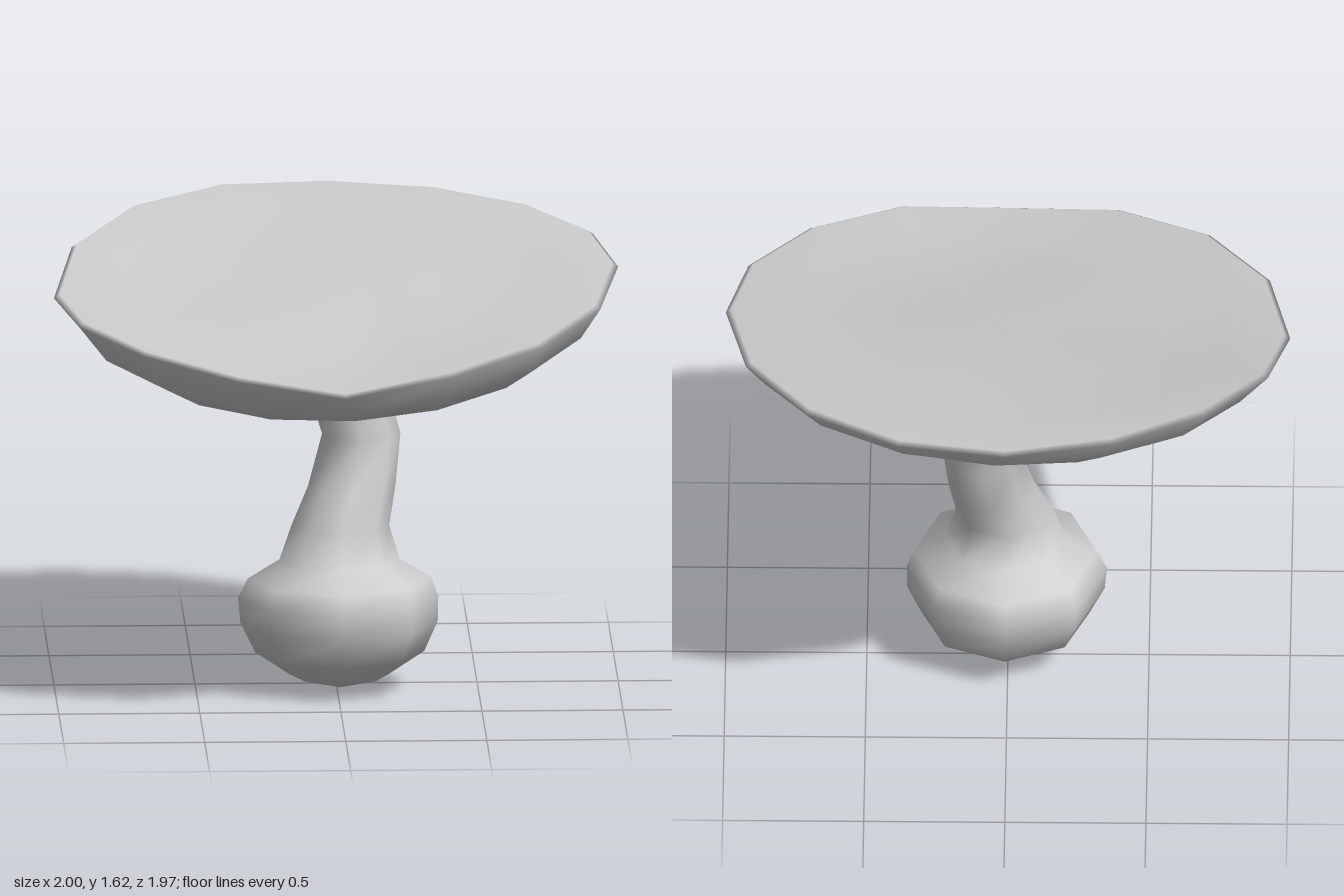
import * as THREE from 'three';
import { mergeVertices } from 'three/addons/utils/BufferGeometryUtils.js';

// Smooth closed skin over rings listed from the bottom pole to the top pole
function loft(name, rings, material) {
  const n = rings[0].length, last = rings.length - 2, index = [];
  for (let r = 0; r <= last; r++) {
    for (let i = 0; i < n; i++) {
      const a = r * n + i, b = r * n + (i + 1) % n;
      if (r > 0) index.push(a, a + n, b);
      if (r < last) index.push(b, a + n, b + n);
    }
  }
  let geometry = new THREE.BufferGeometry();
  geometry.setAttribute('position', new THREE.Float32BufferAttribute(rings.flat(2), 3));
  geometry.setIndex(index);
  geometry = mergeVertices(geometry, 1e-4);
  geometry.computeVertexNormals();
  const mesh = new THREE.Mesh(geometry, material);
  mesh.name = name;
  return mesh;
}

const ring = (n, point) =>
  Array.from({ length: n }, (_, i) => point(i, Math.cos(i / n * 2 * Math.PI), Math.sin(i / n * 2 * Math.PI)));

export function createModel() {
  const group = new THREE.Group();
  group.name = 'mushroom';
  const material = new THREE.MeshStandardMaterial({ color: 0xcccccc });

  // Bent stem with a bulbous foot: [y, centre x, centre z, radius]
  const sections = [
    [0, 0.01, 0.075, 0], [0.047, 0.01, 0.075, 0.175], [0.13, 0.01, 0.077, 0.3],
    [0.237, 0.008, 0.075, 0.35], [0.327, 0.005, 0.075, 0.355], [0.397, 0.01, 0.075, 0.325],
    [0.465, 0.01, 0.075, 0.213], [0.585, 0.012, 0.075, 0.174], [0.72, 0.055, 0.025, 0.155],
    [0.9, 0.09, -0.018, 0.139], [1.12, 0.025, -0.01, 0.142], [1.3, -0.02, -0.01, 0.15],
    [1.31, -0.02, -0.01, 0],
  ];
  group.add(loft('stem', sections.map(([y, x, z, r]) =>
    ring(8, (i, c, s) => [x + r * c, y, z + r * s])), material));

  // Wavy rim heights, from the left side round the front to the back
  const rim = [1.5, 1.425, 1.355, 1.295, 1.235, 1.285, 1.335, 1.375, 1.4, 1.505, 1.575, 1.605, 1.6, 1.59, 1.57, 1.54];
  const tilt = (x, z) => 0.05 * x - 0.19 * z;

  // Closed cap profile: [radius, plane height, rim share, lift, centre x]
  const profile = [
    // nearly flat underside, curling up to the rim
    [0, 1.25, 0, 0, 0], [0.2, 1.25, 0, 0, 0], [0.5, 1.25, 0, 0, 0.02],
    [0.77, 1.25, 0, 0, 0.04], [0.91, 1.25, 0.44, 0, 0.015], [1, 0, 1, 0, 0],
    // lip and dished top with a gently raised middle
    [0.98, 0, 1, 0.014, 0], [0.8, 1.44, 0.6, 0, 0], [0.53, 1.435, 0.25, 0, 0.03],
    [0.26, 1.445, 0.1, 0, 0.08], [0, 1.45, 0, 0, 0.12],
  ];
  group.add(loft('cap', profile.map(([r, h, share, lift, cx]) =>
    ring(16, (i, c, s) => {
      const x = cx + r * c, z = r * s * 0.985;
      return [x, (1 - share) * (h + tilt(x, z)) + share * rim[i] + lift, z];
    })), material));
  return group;
}
